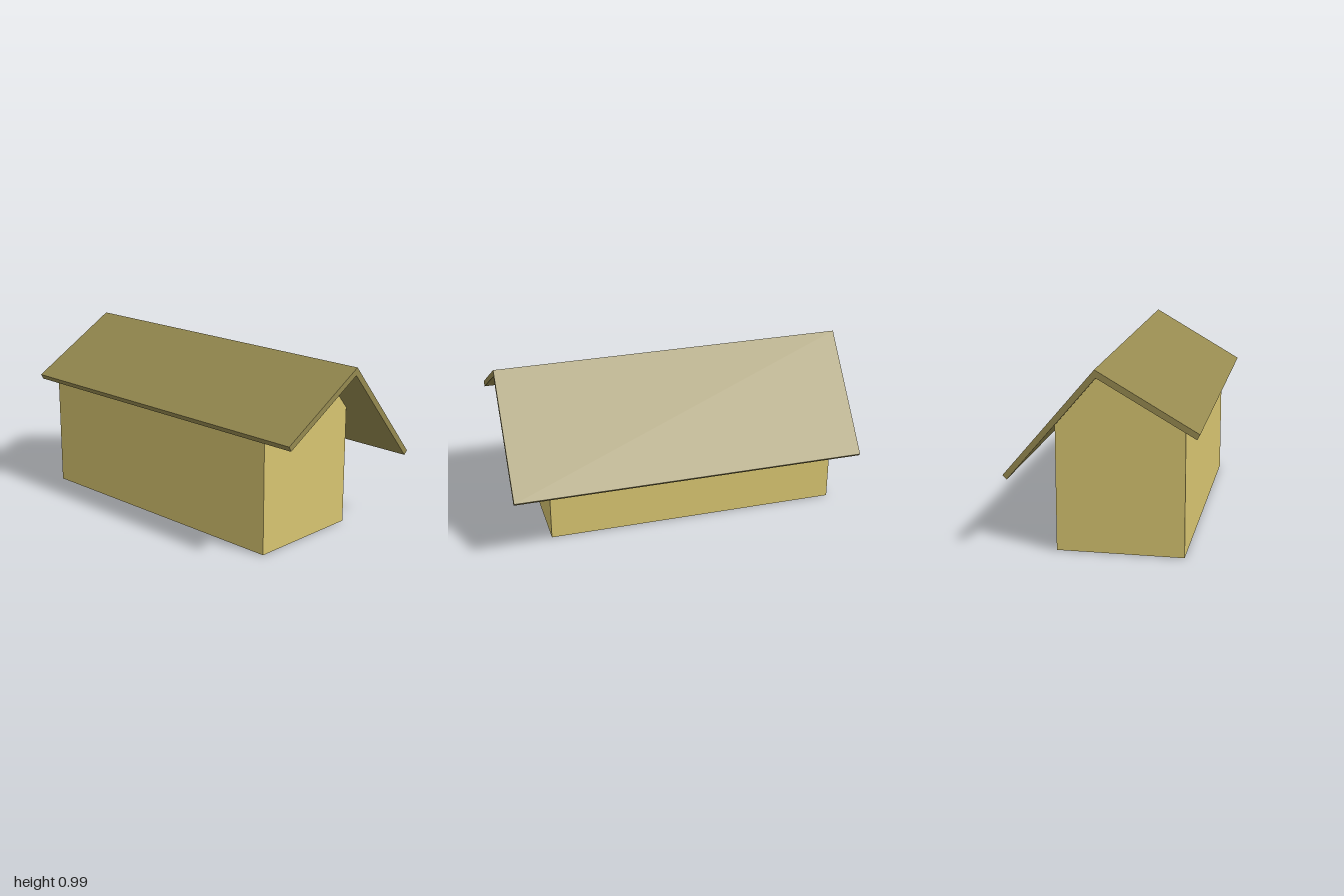
import * as THREE from 'three';

const wallMaterial = new THREE.MeshStandardMaterial({ color: 0xd8c571 });
const roofMaterial = new THREE.MeshStandardMaterial({ color: 0x968a50 });
const floorMaterial = new THREE.MeshStandardMaterial({ color: 0x707070 });

const shapeOf = (points) => new THREE.Shape(points.map(([x, y]) => new THREE.Vector2(x, y)));

// Extrude a front profile between two depths.
function prism(name, points, zBack, zFront, material) {
  const geometry = new THREE.ExtrudeGeometry(shapeOf(points), { depth: zFront - zBack, bevelEnabled: false });
  geometry.translate(0, 0, zBack);
  const mesh = new THREE.Mesh(geometry, material);
  mesh.name = name;
  return mesh;
}

export function createModel() {
  const group = new THREE.Group();
  group.name = 'house';

  // Walls with an off-centre gable that meets the underside of the roof
  group.add(prism('walls', [
    [-0.43, 0.002], [0.245, 0.002], [0.245, 0.676], [0.015, 0.945], [-0.43, 0.688],
  ], -0.93, 0.765, wallMaterial));

  // Asymmetric roof: shallow short slope on one side, long steep slope on the other
  group.add(prism('roof', [
    [-0.51, 0.68], [-0.495, 0.652], [0.015, 0.945],
    [0.485, 0.396], [0.508, 0.417], [0.022, 0.987],
  ], -1, 1, roofMaterial));

  // Floor panel facing down, one corner slightly cut in
  const floorGeometry = new THREE.ShapeGeometry(shapeOf([
    [-0.43, -0.93], [0.245, -0.93], [0.21, 0.735], [-0.43, 0.765],
  ]));
  floorGeometry.rotateX(Math.PI / 2);
  const floor = new THREE.Mesh(floorGeometry, floorMaterial);
  floor.name = 'floor';
  group.add(floor);

  return group;
}
